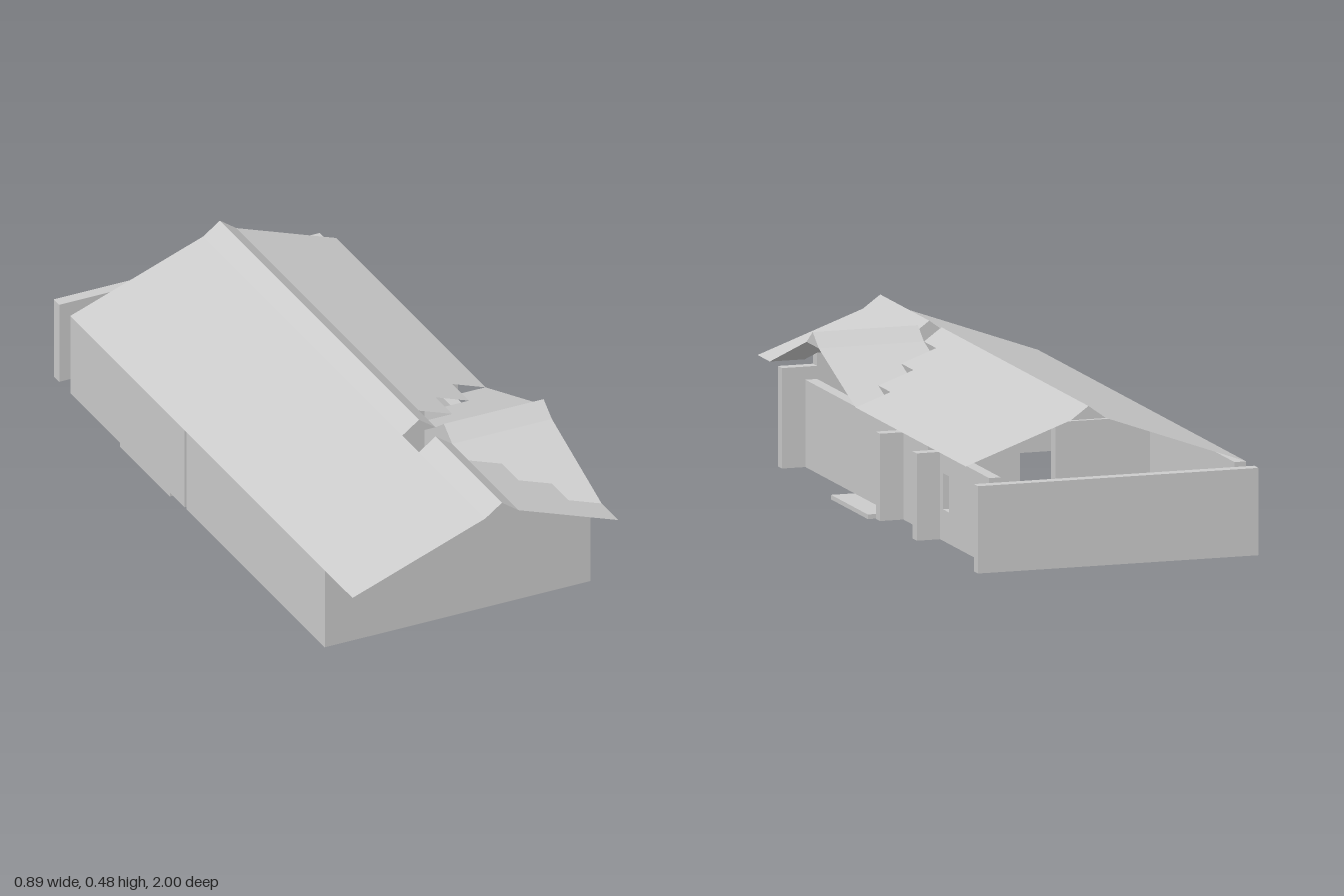
import * as THREE from 'three';

const C = 1 / 9;            // grid cell
const T = C / 3;            // wall thickness
const RISE = 0.04;          // roof rise per cell
const BASE = 0.014, EAVE = 0.28, CAP = EAVE + 4 * RISE, RIDGE = CAP + RISE;

const mat = new THREE.MeshStandardMaterial({ color: 0xcccccc, flatShading: true, side: THREE.DoubleSide });

function add(parent, geo, name) {
  const m = new THREE.Mesh(geo, mat);
  m.name = name;
  parent.add(m);
  return m;
}

// box given by its limits
function block(parent, name, x0, x1, y0, y1, z0, z1) {
  const m = add(parent, new THREE.BoxGeometry(x1 - x0, y1 - y0, z1 - z0), name);
  m.position.set((x0 + x1) / 2, (y0 + y1) / 2, (z0 + z1) / 2);
}

// thin surface from corner loops, each fanned into triangles
function sheet(parent, name, loops) {
  const pos = [];
  for (const l of loops)
    for (let i = 1; i < l.length - 1; i++) pos.push(...l[0], ...l[i], ...l[i + 1]);
  const g = new THREE.BufferGeometry();
  g.setAttribute('position', new THREE.Float32BufferAttribute(pos, 3));
  g.computeVertexNormals();
  add(parent, g, name);
}

// slope falling along x
const slopeX = (x0, y0, x1, y1, z0, z1) => [[x0, y0, z0], [x0, y0, z1], [x1, y1, z1], [x1, y1, z0]];
// slope falling along z
const slopeZ = (z0, y0, z1, y1, x0, x1) => [[x0, y0, z0], [x1, y0, z0], [x1, y1, z1], [x0, y1, z1]];

// ridge cap with closed ends; at(u, y, w) places across, height and along
function cap(parent, name, u, w0, w1, at) {
  const p = (k, w) => at(u + k * C / 2, k ? CAP : RIDGE, w);
  sheet(parent, name, [
    [p(-1, w0), p(-1, w1), p(0, w1), p(0, w0)],
    [p(0, w0), p(0, w1), p(1, w1), p(1, w0)],
    [p(-1, w0), p(0, w0), p(1, w0)],
    [p(-1, w1), p(1, w1), p(0, w1)],
  ]);
}

export function createModel() {
  const model = new THREE.Group();
  model.name = 'house';
  const roof = new THREE.Group(), walls = new THREE.Group(), floor = new THREE.Group();
  roof.name = 'roof'; walls.name = 'walls'; floor.name = 'floor';
  model.add(roof, walls, floor);

  // main roof: unbroken right slope, left slope cut back in steps around the cross roof
  const back = -8 * C, front = 9 * C, mid = 4.5 * C;
  sheet(roof, 'rightSlope', [slopeX(0, CAP, -4 * C, EAVE, back, front)]);
  const left = [], cross = [];
  for (let i = 0; i < 3; i++) {
    const a = (i + 1) * C, b = a + C, ya = CAP - i * RISE, yb = ya - RISE;
    const reach = (i + 1.5) * C;
    left.push(slopeX(a, ya, b, yb, back, mid - reach), slopeX(a, ya, b, yb, mid + reach, front));
    for (const s of [-1, 1])
      cross.push(slopeZ(mid + s * (i + 0.5) * C, ya, mid + s * reach, yb, a, 4 * C));
  }
  sheet(roof, 'leftSlope', left);
  sheet(roof, 'crossRoofSlopes', cross);

  // ridge caps, open at the crossing
  const alongZ = (u, y, w) => [u, y, w], alongX = (u, y, w) => [w, y, u];
  cap(roof, 'backRidgeCap', C / 2, back, 4 * C, alongZ);
  cap(roof, 'frontRidgeCap', C / 2, 5 * C, front, alongZ);
  cap(roof, 'crossRidgeCap', mid, C, 4 * C, alongX);

  // front gable wall with a stepped top
  const g = new THREE.Shape();
  g.moveTo(-4 * C, BASE);
  for (let i = -4; i < 4; i++) {
    const top = CAP - Math.abs(i) * RISE;
    g.lineTo(i * C, top);
    g.lineTo((i + 1) * C, top);
  }
  g.lineTo(4 * C, BASE);
  const gable = add(walls, new THREE.ExtrudeGeometry(g, { depth: T, bevelEnabled: false }), 'frontGableWall');
  gable.position.z = 7 * C;

  const wall = (name, x0, x1, z0, z1) => block(walls, name, x0, x1, BASE, EAVE, z0, z1);
  wall('backWall', -4 * C, 4 * C, -9 * C, -9 * C + T);
  wall('rightFrontWall', -4 * C, -4 * C + T, -C + T, 7 * C);
  wall('rightBackWall', -4 * C, -4 * C + T, -8 * C, -C - 0.012);

  // cross wall with a doorway
  wall('crossWallLeft', 0, 4 * C, -C, -C + T);
  wall('crossWallRight', -4 * C, -C, -C, -C + T);

  // recessed left side, with a door gap beside a short stub wall
  const xi = 3 * C, xo = xi + T;
  wall('leftFrontWall', xi, xo, -C + T, 7 * C);
  wall('leftMiddleWall', xi, xo, -3 * C, -C);
  wall('stubWall', xi, 4 * C, -4 * C, -4 * C + T);

  // back part of the left side, with a small window
  const w = new THREE.Shape([[4 * C, BASE], [8 * C, BASE], [8 * C, EAVE], [4 * C, EAVE]].map(p => new THREE.Vector2(...p)));
  w.holes.push(new THREE.Path([[0.47, 0.11], [0.47, 0.22], [0.525, 0.22], [0.525, 0.11]].map(p => new THREE.Vector2(...p))));
  const windowWall = add(walls, new THREE.ExtrudeGeometry(w, { depth: T, bevelEnabled: false }), 'windowWall');
  windowWall.rotation.y = Math.PI / 2;
  windowWall.position.x = xi;

  // floor slabs, in cells: x0, x1, z0, z1
  const slabs = {
    porchSlab: [3, 4, 0, 3],
    hallSlab: [1, 2, 0, 5],
    roomSlab: [-2, 2, -7, -2],
    roomSlabEnd: [0, 2, -8, -7],
    sideSlab: [-4, -3, -5, -2],
  };
  for (const [name, [x0, x1, z0, z1]] of Object.entries(slabs))
    block(floor, name, x0 * C, x1 * C, 0, BASE, z0 * C, z1 * C);

  return model;
}
